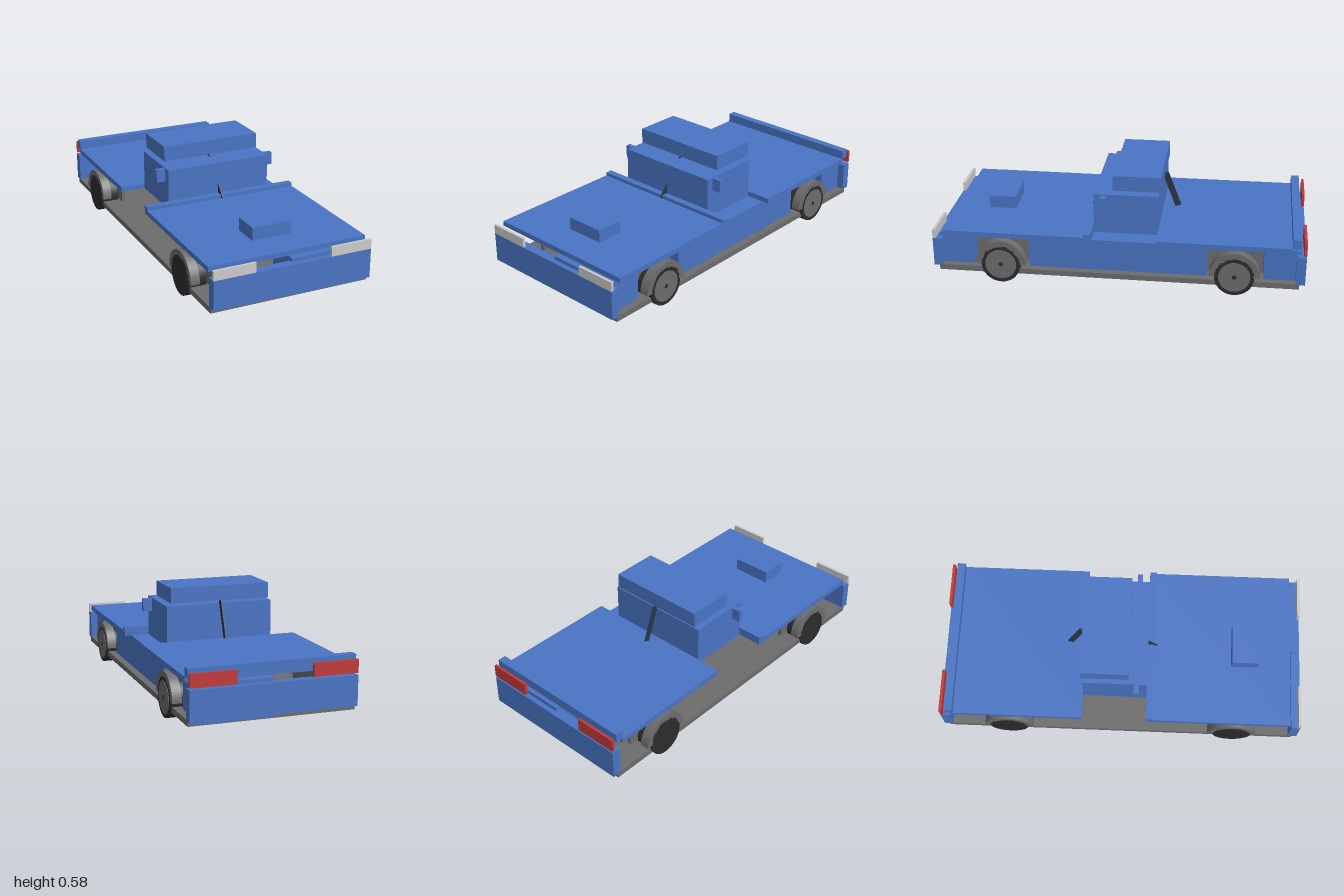
import * as THREE from 'three';

export function createModel() {
  const car = new THREE.Group();
  car.name = 'car';
  const paint = (color) => new THREE.MeshStandardMaterial({ color });
  const blue = paint(0x4a74c4), grey = paint(0x6c6c6c), black = paint(0x2c2c2c);
  const red = paint(0xc23a3a), lamp = paint(0xcccccc), glass = paint(0x2b3642);

  const add = (name, geometry, material, parent = car) => {
    const mesh = new THREE.Mesh(geometry, material);
    mesh.name = name;
    parent.add(mesh);
    return mesh;
  };
  // Box given by its limits on each axis
  const block = (name, material, [x0, x1], [y0, y1], [z0, z1]) => {
    const mesh = add(name, new THREE.BoxGeometry(x1 - x0, y1 - y0, z1 - z0), material);
    mesh.position.set((x0 + x1) / 2, (y0 + y1) / 2, (z0 + z1) / 2);
    return mesh;
  };
  const full = [-0.44, 0.44];

  // Floor and the one-sided body, split by the wheel openings
  block('floor', grey, full, [0.05, 0.08], [-0.97, 0.97]);
  for (const z of [[-0.972, -0.78], [-0.48, 0.48], [0.78, 0.972]]) {
    block('bodySide', blue, [0, 0.4], [0.055, 0.255], z);
  }

  // Ends
  block('frontBumper', blue, full, [0.075, 0.235], [0.95, 1]);
  block('rearBumper', blue, full, [0.075, 0.235], [-1, -0.95]);
  block('spoiler', blue, full, [0.285, 0.335], [-0.97, -0.925]);

  // Upper panels
  block('hood', blue, full, [0.257, 0.285], [0.14, 0.94]);
  block('cowl', blue, full, [0.285, 0.304], [0.14, 0.178]);
  block('rearDeck', blue, full, [0.257, 0.285], [-0.93, -0.21]);
  block('hoodScoop', blue, [-0.11, 0.11], [0.285, 0.355], [0.61, 0.76]);

  // Cabin and roof
  block('cabin', blue, [-0.3, 0.3], [0.257, 0.48], [-0.21, 0.14]);
  block('roof', blue, [-0.28, 0.28], [0.497, 0.58], [-0.22, 0.04]);

  // Thin sloping screens on the centre line
  const screen = (name, z0, y0, z1, y1) => {
    const dy = y1 - y0, dz = z1 - z0;
    const mesh = add(name, new THREE.BoxGeometry(0.005, Math.hypot(dy, dz), 0.034), glass);
    mesh.position.set(0, (y0 + y1) / 2, (z0 + z1) / 2);
    mesh.rotation.x = Math.atan2(dz, dy);
  };
  screen('windshield', 0.18, 0.285, 0, 0.5);
  screen('rearScreen', -0.295, 0.305, -0.22, 0.5);

  // Arch: upper half of a ring, extruded sideways
  const arch = new THREE.Shape();
  arch.absarc(0, 0, 0.135, 0, Math.PI, false);
  arch.absarc(0, 0, 0.1, Math.PI, 0, true);
  const archGeometry = new THREE.ExtrudeGeometry(arch, { depth: 0.05, bevelEnabled: false, curveSegments: 24 });
  archGeometry.rotateY(Math.PI / 2);
  const disc = (radius, width) => new THREE.CylinderGeometry(radius, radius, width, 32).rotateZ(Math.PI / 2);

  for (const side of [-1, 1]) {
    const span = (a, b) => (side > 0 ? [a, b] : [-b, -a]);
    block('headlight', lamp, span(0.21, 0.44), [0.235, 0.287], [0.985, 1]);
    block('tailLight', red, span(0.2, 0.44), [0.245, 0.315], [-1, -0.985]);
    block('mirror', blue, span(0.3, 0.35), [0.405, 0.475], [0.07, 0.098]);

    for (const z of [-0.628, 0.628]) {
      block('wheelWell', grey, span(0.32, 0.34), [0.08, 0.24], [z - 0.15, z + 0.15]);
      const wheel = new THREE.Group();
      wheel.name = 'wheel';
      wheel.position.set(side * 0.4, 0.106, z);
      car.add(wheel);
      add('tyre', disc(0.106, 0.1), black, wheel);
      add('wheelArch', archGeometry, grey, wheel).position.x = side > 0 ? 0 : -0.05;
      // Rims on the finished side only
      if (side > 0) {
        add('rim', disc(0.085, 0.01), grey, wheel).position.x = 0.047;
        add('hub', disc(0.012, 0.01), black, wheel).position.x = 0.048;
      }
    }
  }
  return car;
}
